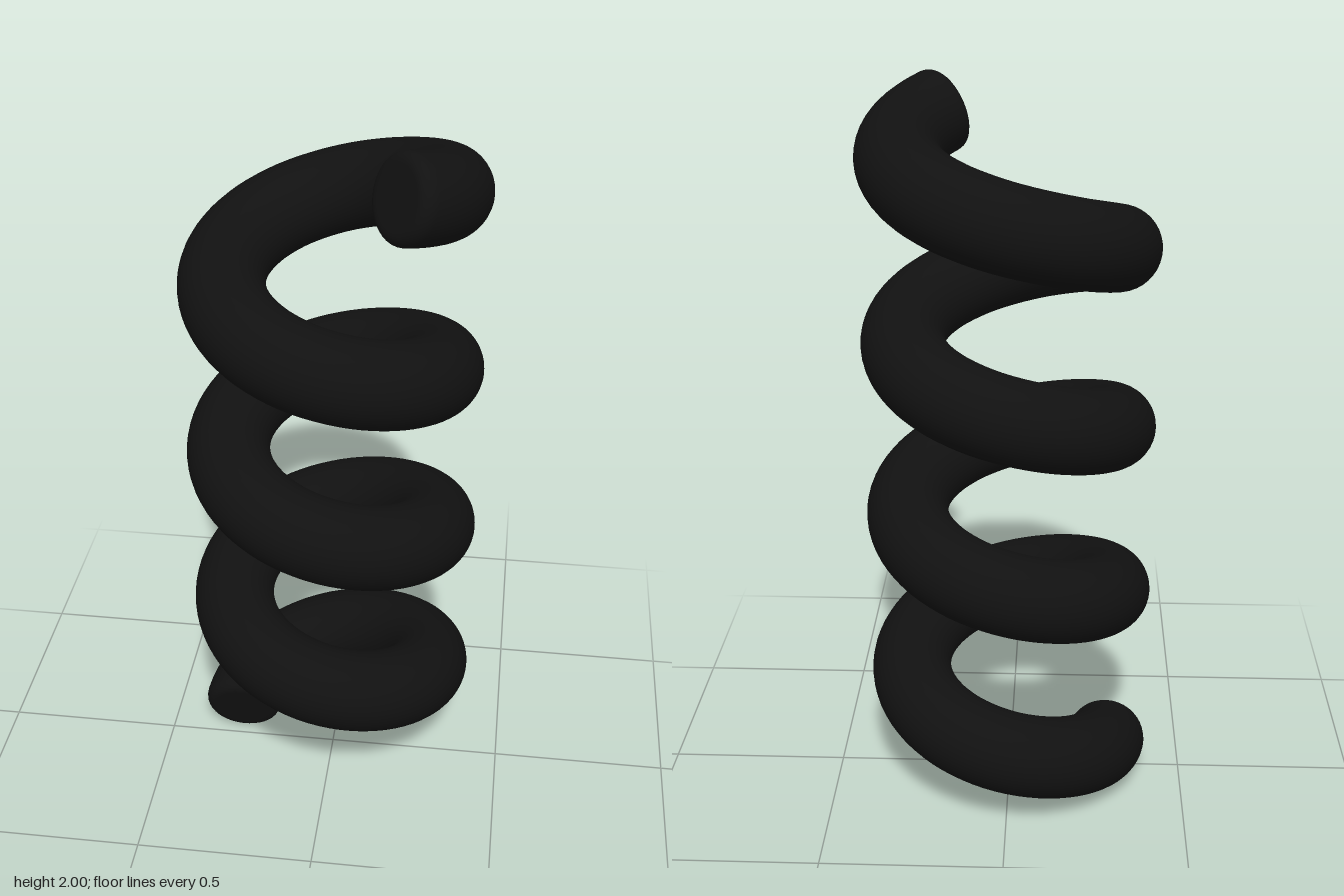
import * as THREE from 'three';

const COIL_RADIUS = 0.283;   // centre line of the wire
const WIRE_RADIUS = 0.1125;
const PITCH = 0.494;         // rise per turn
const START_Y = 0.1;
const START = Math.PI;       // begins on the -x side
const TURNS = 3 + 232 / 360;
const BEVEL = 0.03;          // rounding of the wire ends
const SIDES = 40;

// Sections of the wire: distance from its end and radius there
function endSections() {
  const rows = [[0, 0], [0, (WIRE_RADIUS - BEVEL) * 0.92]];
  for (let k = 0; k <= 6; k++) {
    const a = (k / 6) * Math.PI / 2;
    rows.push([BEVEL * (1 - Math.cos(a)), WIRE_RADIUS - BEVEL + BEVEL * Math.sin(a)]);
  }
  return rows;
}

function springGeometry() {
  const rise = PITCH / (2 * Math.PI);
  const speed = Math.hypot(COIL_RADIUS, rise);
  const length = TURNS * 2 * Math.PI * speed;

  // Rounded start, constant body, rounded finish
  const ends = endSections();
  const rows = [...ends];
  const steps = 260;
  for (let i = 1; i < steps; i++) {
    rows.push([BEVEL + (length - 2 * BEVEL) * i / steps, WIRE_RADIUS]);
  }
  for (const [s, r] of [...ends].reverse()) rows.push([length - s, r]);

  const positions = [];
  const index = [];
  const centre = new THREE.Vector3();
  const p = new THREE.Vector3();
  rows.forEach(([s, r], i) => {
    const turn = s / speed;
    const t = START + turn;
    const outward = new THREE.Vector3(Math.cos(t), 0, Math.sin(t));
    const tangent = new THREE.Vector3(-COIL_RADIUS * Math.sin(t), rise, COIL_RADIUS * Math.cos(t)).normalize();
    const across = new THREE.Vector3().crossVectors(tangent, outward);
    centre.copy(outward).multiplyScalar(COIL_RADIUS).setY(START_Y + rise * turn);
    for (let j = 0; j < SIDES; j++) {
      const a = (j / SIDES) * 2 * Math.PI;
      p.copy(centre)
        .addScaledVector(outward, r * Math.cos(a))
        .addScaledVector(across, r * Math.sin(a));
      positions.push(p.x, p.y, p.z);
      if (i < rows.length - 1) {
        const k = (j + 1) % SIDES;
        const a0 = i * SIDES + j, a1 = i * SIDES + k;
        const b0 = a0 + SIDES, b1 = a1 + SIDES;
        index.push(a0, a1, b0, a1, b1, b0);
      }
    }
  });

  const geometry = new THREE.BufferGeometry();
  geometry.setAttribute('position', new THREE.Float32BufferAttribute(positions, 3));
  geometry.setIndex(index);
  geometry.computeVertexNormals();
  return geometry;
}

export function createModel() {
  const group = new THREE.Group();
  group.name = 'coilSpring';
  const coil = new THREE.Mesh(springGeometry(), new THREE.MeshStandardMaterial({ color: 0x111111 }));
  coil.name = 'coil';
  group.add(coil);
  return group;
}
